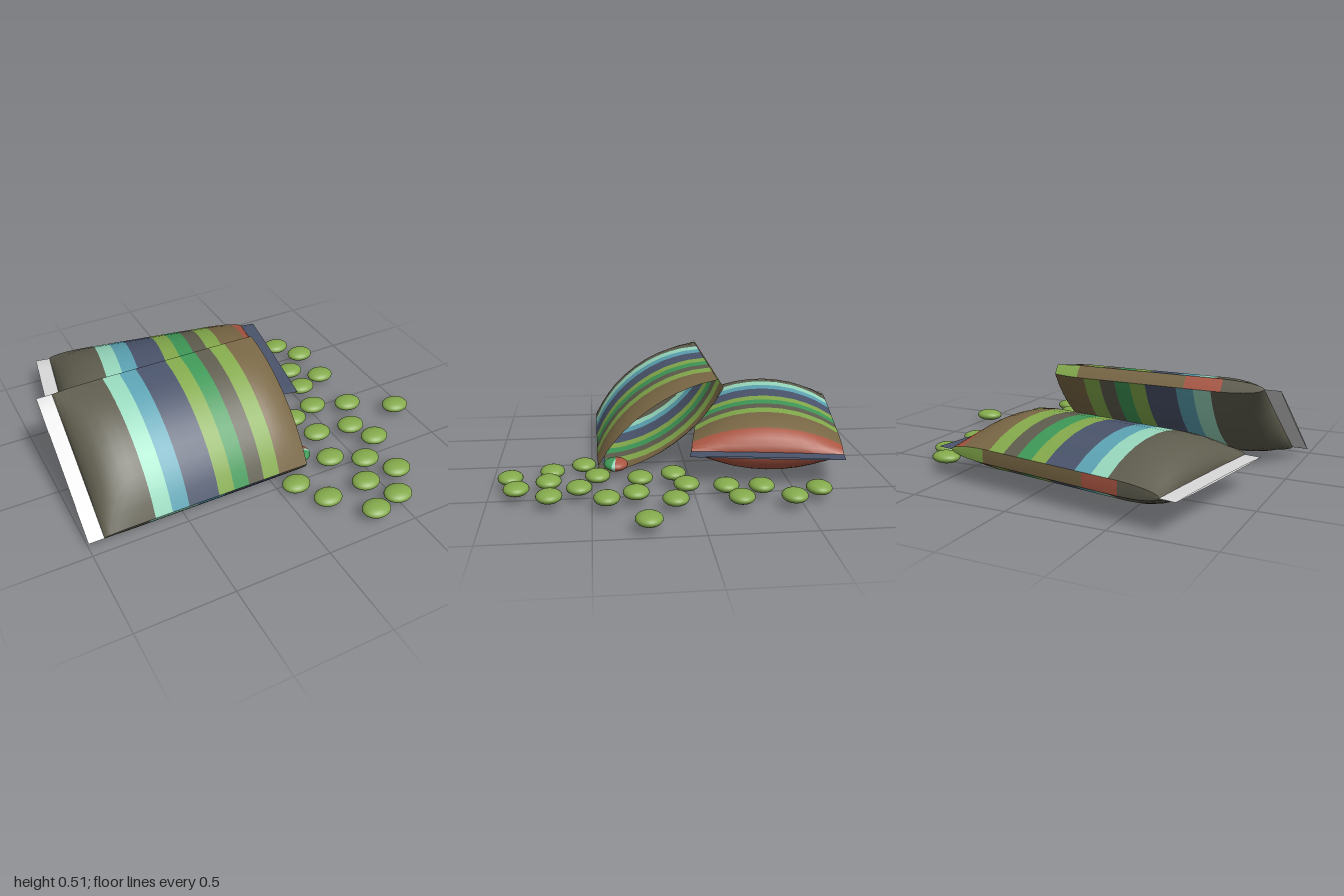
import * as THREE from 'three';
import { toCreasedNormals } from 'three/addons/utils/BufferGeometryUtils.js';

const colours = {
  white: 0xdadada, olive: 0x5f5d4e, mint: 0x97d8bd, blue: 0x5ca3b3, slate: 0x4a546b,
  lime: 0x84aa4c, green: 0x3f9857, brown: 0x796745, red: 0xaa5642,
};
const names = Object.keys(colours);
const LENGTH = 1.36;

// Colour bands along the bag: [where the band ends, colour]
const faceBands = [[0.08, 'white'], [0.34, 'olive'], [0.43, 'mint'], [0.52, 'blue'], [0.685, 'slate'],
  [0.77, 'lime'], [0.855, 'green'], [0.94, 'olive'], [1.03, 'lime'], [1.2, 'brown'], [1.28, 'red'], [LENGTH, 'slate']];
const nearBands = [[0.08, 'white'], [0.31, 'olive'], [0.57, 'mint'], [0.72, 'blue'], [1.04, 'slate'],
  [1.28, 'olive'], [LENGTH, 'slate']];
const farBands = [[0.08, 'white'], [0.29, 'olive'], [0.48, 'red'], [1.07, 'brown'], [1.28, 'lime'], [LENGTH, 'slate']];
const bandAt = (bands, s) => bands.find(([end]) => s < end)[1];

// Cross-section: quarter profile [half width, half thickness], mirrored into a full loop
const quarter = [[0.383, 0], [0.38, 0.035], [0.3, 0.08], [0.235, 0.106], [0.17, 0.126], [0.085, 0.141], [0, 0.146]];
const half = [...quarter, ...quarter.slice(0, -1).reverse().map(([z, y]) => [-z, y])];
const ring = [...half, ...half.slice(1, -1).reverse().map(([z, y]) => [z, -y])];

// Pillow thickness: flat at the end seals, quickly swelling to full
function swell(s) {
  const d = Math.min(s, LENGTH - s);
  const q = THREE.MathUtils.clamp((d - 0.08) / 0.23, 0, 1);
  return Math.max(0.03, Math.sqrt(1 - (1 - q) ** 2));
}

function bagGeometry(cut) {
  const swellSteps = [0, 0.088, 0.11, 0.14, 0.18, 0.24, 0.31];
  const stations = [...new Set([
    ...[faceBands, nearBands, farBands].flat().map(([end]) => end),
    ...swellSteps, ...swellSteps.map((d) => LENGTH - d),
  ])].filter((s) => s <= cut).sort((a, b) => a - b);

  const positions = [];
  for (const s of stations) {
    const t = swell(s);
    for (const [z, y] of ring) positions.push(s - LENGTH / 2, y * t, z);
  }

  // Collect faces by colour
  const n = ring.length;
  const buckets = names.map(() => []);
  for (let i = 0; i + 1 < stations.length; i++) {
    const s = (stations[i] + stations[i + 1]) / 2;
    for (let j = 0; j < n; j++) {
      const k = (j + 1) % n;
      const z = (ring[j][0] + ring[k][0]) / 2;
      const bands = z > 0.36 ? nearBands : z < -0.36 ? farBands : faceBands;
      const a = i * n + j, b = a + n, c = (i + 1) * n + k, d = i * n + k;
      buckets[names.indexOf(bandAt(bands, s))].push(a, b, c, a, c, d);
    }
  }

  const geometry = new THREE.BufferGeometry();
  geometry.setAttribute('position', new THREE.Float32BufferAttribute(positions, 3));
  geometry.setIndex(buckets.flat());
  let start = 0;
  buckets.forEach((bucket, m) => {
    if (bucket.length) geometry.addGroup(start, bucket.length, m);
    start += bucket.length;
  });
  return toCreasedNormals(geometry, 0.6);
}

export function createModel() {
  const model = new THREE.Group();
  const materials = names.map((name) => {
    const material = new THREE.MeshStandardMaterial({ color: colours[name], side: THREE.DoubleSide });
    material.name = name;
    return material;
  });
  const paint = (name) => materials[names.indexOf(name)];

  // Sealed bag lying flat behind
  const sealedBag = new THREE.Mesh(bagGeometry(LENGTH), materials);
  sealedBag.name = 'sealedBag';
  sealedBag.position.set(-0.195, 0.165, -0.48);
  sealedBag.rotation.y = -0.17;
  model.add(sealedBag);

  // Open bag leaning on it, cut off at the right end
  const openBag = new THREE.Mesh(bagGeometry(1.2), materials);
  openBag.name = 'openBag';
  openBag.position.set(-0.32, 0.26, 0.14);
  openBag.rotation.x = 0.62;
  model.add(openBag);

  // Spilled candies, [x, z]; those with a third value lie lower
  const spots = [[0.62, -0.59], [0.71, -0.45], [0.56, -0.32], [0.7, -0.2], [0.54, -0.15], [0.5, 0.04],
    [0.34, 0.09], [0.69, 0.11], [0.92, 0.25], [0.39, 0.26], [0.59, 0.29], [0.65, 0.43], [0.34, 0.47],
    [0.5, 0.56], [0.09, 0.54, 0.033], [0.18, 0.7, 0.035], [0.4, 0.71], [0.6, 0.7], [0.33, 0.9], [0.49, 0.86]];
  const candies = new THREE.Group();
  candies.name = 'candies';
  const candyGeometry = new THREE.SphereGeometry(1, 28, 18).scale(0.075, 0.031, 0.063);
  for (const [x, z, y = 0.06] of spots) {
    const candy = new THREE.Mesh(candyGeometry, paint('lime'));
    candy.name = 'candy';
    candy.position.set(x, y, z);
    candies.add(candy);
  }
  model.add(candies);

  // Multicoloured candy peeking out of the opening
  const peeking = new THREE.Group();
  peeking.name = 'peekingCandy';
  const slices = [['green', 0, 2.75], ['mint', 2.75, 3.05], ['red', 3.05, Math.PI * 2]];
  for (const [colour, from, to] of slices) {
    const slice = new THREE.Mesh(
      new THREE.SphereGeometry(1, 14, 16, from, to - from).scale(0.075, 0.031, 0.063), paint(colour));
    slice.name = 'candySlice';
    peeking.add(slice);
  }
  peeking.position.set(0.19, 0.065, 0.375);
  model.add(peeking);

  return model;
}
